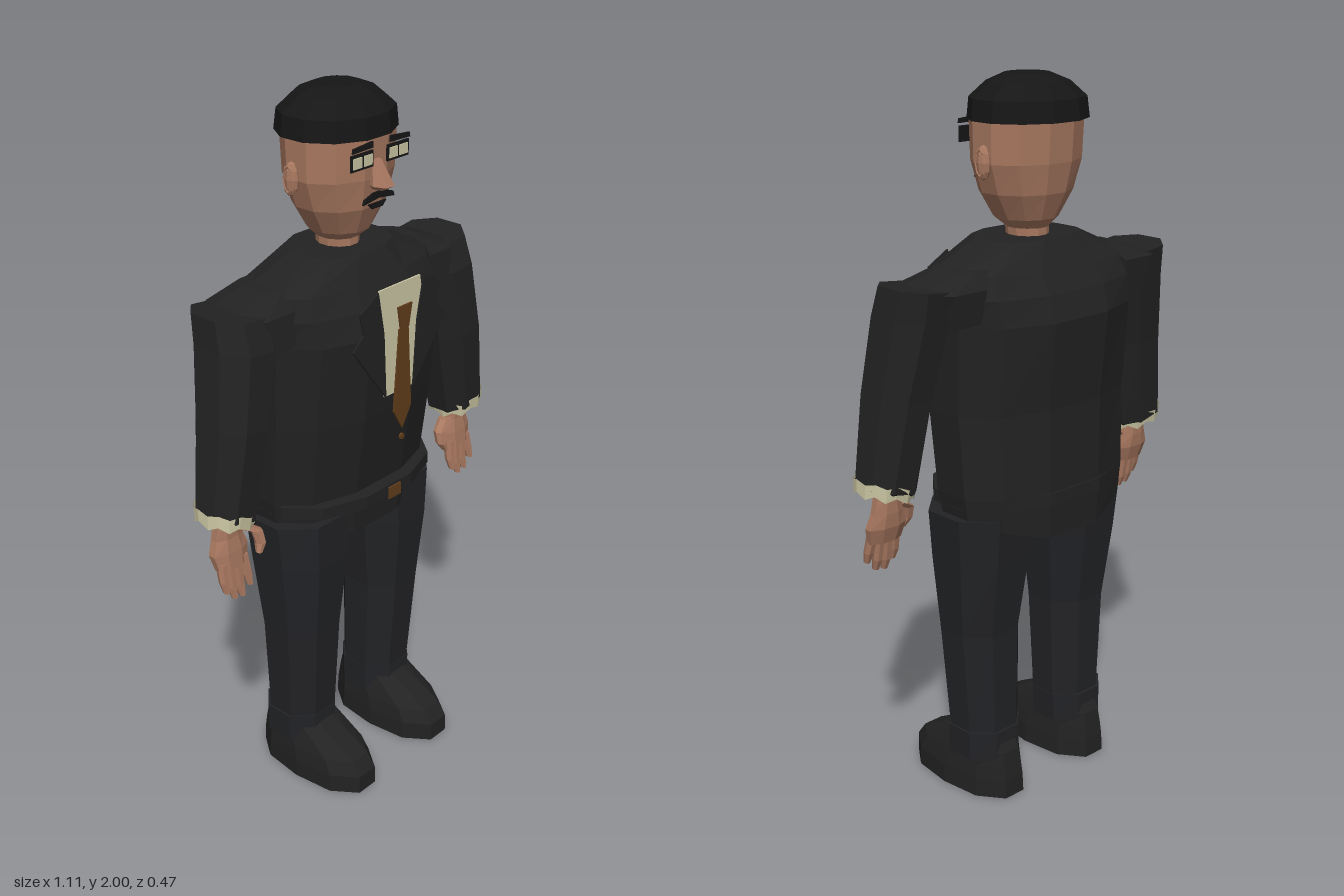
import * as THREE from 'three';

const mat = (name, color) => {
  const m = new THREE.MeshStandardMaterial({ color, side: THREE.DoubleSide });
  m.name = name;
  m.flatShading = true;
  return m;
};

// Horizontal cross-section: y, centre x, half width, front z, back z, outward tilt
function section([y, cx, rx, zf, zb, tilt = 0], n, p) {
  const pts = [];
  const cz = (zf + zb) / 2, rz = (zf - zb) / 2;
  const bend = v => Math.sign(v) * Math.pow(Math.abs(v), 2 / p);
  for (let i = 0; i < n; i++) {
    const a = (i + 0.5) / n * Math.PI * 2;
    const k = Math.cos(Math.PI / n); // keeps flat sides on the given extents
    const x = Math.max(-1, Math.min(1, bend(Math.sin(a) / k)));
    const z = Math.max(-1, Math.min(1, bend(Math.cos(a) / k)));
    pts.push(new THREE.Vector3(cx + rx * x, y + tilt * x, cz + rz * z));
  }
  return pts;
}

// Skin a list of point rings, bottom to top
function skin(rings, caps = true) {
  const pos = [];
  const tri = (...v) => v.forEach(q => pos.push(q.x, q.y, q.z));
  const n = rings[0].length;
  for (let r = 0; r + 1 < rings.length; r++) {
    for (let i = 0; i < n; i++) {
      const j = (i + 1) % n, lo = rings[r], hi = rings[r + 1];
      tri(lo[i], lo[j], hi[j]);
      tri(lo[i], hi[j], hi[i]);
    }
  }
  if (caps) {
    const lo = rings[0], hi = rings[rings.length - 1];
    for (let i = 1; i + 1 < n; i++) {
      tri(lo[0], lo[i + 1], lo[i]);
      tri(hi[0], hi[i], hi[i + 1]);
    }
  }
  const g = new THREE.BufferGeometry();
  g.setAttribute('position', new THREE.Float32BufferAttribute(pos, 3));
  g.computeVertexNormals();
  return g;
}

const loft = (rows, n = 8, p = 2) => skin(rows.map(r => section(r, n, p)));

// Thin plate facing the front
function plate(points, z, depth = 0.005) {
  const shape = new THREE.Shape(points.map(q => new THREE.Vector2(q[0], q[1])));
  return new THREE.ExtrudeGeometry(shape, { depth, bevelEnabled: false }).translate(0, 0, z);
}
const rect = (x0, x1, y0, y1) => [[x0, y0], [x1, y0], [x1, y1], [x0, y1]];
const mirrored = pts => pts.map(([x, y]) => [-x, y]).reverse();

export function createModel() {
  const suit = mat('suitBlack', 0x222222);
  const trouser = mat('trouserBlack', 0x222326);
  const black = mat('detailBlack', 0x161616);
  const skinTone = mat('skin', 0xa87860);
  const cream = mat('shirtCream', 0xcdc8a4);
  const brown = mat('tieBrown', 0x623e1c);

  const model = new THREE.Group();
  model.name = 'suitedMan';
  const add = (name, geometry, material, parent = model) => {
    const m = new THREE.Mesh(geometry, material);
    m.name = name;
    parent.add(m);
    return m;
  };

  // Jacket, with the hem rising toward the sides
  const jacket = [
    [0.78, 0, 0.285, 0.115, -0.21], [0.92, 0, 0.295, 0.125, -0.215],
    [1.15, 0, 0.302, 0.155, -0.212], [1.39, 0, 0.305, 0.178, -0.235],
    [1.46, 0, 0.315, 0.155, -0.215], [1.515, 0, 0.30, 0.125, -0.18],
    [1.585, 0, 0.15, 0.093, -0.14],
  ].map(r => section(r, 12, 2.3));
  jacket[0].forEach(q => { q.y += 0.08 * Math.pow(Math.abs(q.x) / 0.285, 2); });
  add('jacket', skin(jacket), suit);
  add('belt', loft([[0.885, 0, 0.29, 0.163, -0.22], [0.92, 0, 0.29, 0.163, -0.22]], 12, 2.3), suit);

  // Shirt front, lapels, tie, button and buckle
  add('shirtFront', plate([[-0.055, 1.215], [0.055, 1.215], [0.095, 1.44], [0.08, 1.52], [-0.08, 1.52], [-0.095, 1.44]], 0.184), cream);
  const lapel = [[0.055, 1.215], [0.185, 1.385], [0.145, 1.42], [0.16, 1.48], [0.09, 1.52], [0.066, 1.40]];
  add('leftLapel', plate(lapel, 0.19), suit);
  add('rightLapel', plate(mirrored(lapel), 0.19), suit);
  add('tie', plate([[0, 1.11], [0.035, 1.17], [0.018, 1.40], [-0.018, 1.40], [-0.035, 1.17]], 0.2), brown);
  add('tieKnot', plate([[0.016, 1.40], [0.028, 1.465], [-0.028, 1.465], [-0.016, 1.40]], 0.203), brown);
  add('button', new THREE.CylinderGeometry(0.009, 0.009, 0.006, 8).rotateX(Math.PI / 2).translate(0, 1.085, 0.203), brown);
  add('buckle', plate(rect(-0.024, 0.024, 0.893, 0.928), 0.18), brown);

  // Head, hair and face
  add('head', loft([
    [1.56, 0, 0.052, 0.03, -0.085], [1.605, 0, 0.055, 0.03, -0.085],
    [1.63, 0, 0.085, 0.06, -0.105], [1.70, 0, 0.128, 0.09, -0.135],
    [1.78, 0, 0.155, 0.103, -0.15], [1.90, 0, 0.158, 0.107, -0.157],
  ], 12), skinTone);
  add('hair', loft([
    [1.885, 0, 0.164, 0.113, -0.175], [1.94, 0, 0.158, 0.108, -0.168],
    [1.98, 0, 0.11, 0.07, -0.13], [2.0, 0, 0.06, 0.03, -0.085],
  ], 12), black);
  add('nose', loft([
    [1.752, 0, 0.012, 0.13, 0.085], [1.765, 0, 0.028, 0.152, 0.085], [1.83, 0, 0.011, 0.115, 0.085],
  ], 6), skinTone);
  add('mouth', plate([[-0.02, 1.703], [0.02, 1.703], [0.034, 1.717], [-0.034, 1.717]], 0.105), black);
  add('moustache', plate([
    [-0.06, 1.722], [0, 1.73], [0.06, 1.722], [0.055, 1.735], [0.02, 1.747], [-0.02, 1.747], [-0.055, 1.735],
  ], 0.11), black);

  for (const s of [1, -1]) {
    const side = new THREE.Group();
    side.name = s > 0 ? 'leftSide' : 'rightSide';
    model.add(side);
    const put = (name, geometry, material) => add(name, geometry, material, side);
    const flip = rows => rows.map(([y, x, rx, zf, zb, t = 0]) => [y, s * x, rx, zf, zb, s * t]);
    const limb = (rows, n, p) => loft(flip(rows), n, p);
    const facePlate = (pts, z) => plate(s > 0 ? pts : mirrored(pts), z);

    // Eye and brow
    put('eyeFrame', facePlate(rect(0.027, 0.109, 1.818, 1.86), 0.113), black);
    put('eyeInner', facePlate(rect(0.033, 0.063, 1.825, 1.852), 0.116), cream);
    put('eyeOuter', facePlate(rect(0.071, 0.102, 1.825, 1.852), 0.116), cream);
    put('brow', facePlate([[0.032, 1.868], [0.108, 1.866], [0.106, 1.878], [0.034, 1.884]], 0.118), black);

    // Ear
    const ear = new THREE.SphereGeometry(1, 8, 6).scale(0.018, 0.045, 0.022).translate(s * 0.161, 1.785, -0.035);
    put('ear', ear, skinTone);
    const rim = new THREE.TorusGeometry(0.017, 0.004, 4, 8).rotateY(Math.PI / 2).scale(1, 2, 1);
    put('earRim', rim.translate(s * 0.172, 1.785, -0.035), skinTone);

    // Shoulder, sleeve and shirt cuff
    put('shoulder', limb([
      [1.40, 0.30, 0.08, 0.08, -0.14], [1.49, 0.31, 0.11, 0.07, -0.15], [1.53, 0.24, 0.06, 0.03, -0.12],
    ], 8, 2.4), suit);
    put('sleeve', limb([
      [0.962, 0.475, 0.066, 0.074, -0.05, 0.014], [0.975, 0.472, 0.074, 0.085, -0.066, 0.018],
      [1.22, 0.432, 0.084, 0.096, -0.09, 0.01], [1.42, 0.396, 0.092, 0.085, -0.12, 0.01],
      [1.50, 0.392, 0.088, 0.06, -0.13, 0.01],
    ], 8, 2.2), suit);
    const cuff = flip([
      [0.957, 0.478, 0.075, 0.085, -0.062, 0.016], [0.992, 0.474, 0.078, 0.088, -0.068, 0.018],
    ]).map(r => section(r, 16, 2.2));
    cuff.forEach((ring, k) => ring.forEach((q, i) => { q.y += (i % 2 ? 0.007 : -0.007) * (k ? 0.6 : 1); }));
    put('shirtCuff', skin(cuff, false), cream);

    // Hand
    put('palm', limb([
      [0.825, 0.472, 0.05, 0.045, 0.002], [0.87, 0.472, 0.06, 0.04, -0.012],
      [0.91, 0.472, 0.046, 0.033, -0.016], [0.97, 0.472, 0.034, 0.032, -0.016],
    ], 8), skinTone);
    [0.755, 0.733, 0.738, 0.765].forEach((tip, i) => {
      const x = 0.435 + i * 0.025, lean = (i - 1.5) * 0.003;
      put('finger' + (i + 1), limb([
        [tip, x + lean, 0.007, 0.055, 0.037], [tip + 0.03, x + lean, 0.012, 0.05, 0.024],
        [0.845, x, 0.013, 0.04, 0.01],
      ], 6), skinTone);
    });
    put('thumb', limb([
      [0.835, 0.392, 0.007, 0.055, 0.037], [0.86, 0.381, 0.013, 0.055, 0.025],
      [0.895, 0.384, 0.016, 0.045, 0.015], [0.92, 0.43, 0.025, 0.03, 0],
    ], 6), skinTone);

    // Trouser leg, turn-up and shoe
    put('trouserLeg', limb([
      [0.15, 0.163, 0.09, 0.065, -0.113], [0.5, 0.17, 0.105, 0.088, -0.118],
      [0.72, 0.168, 0.128, 0.108, -0.15], [0.86, 0.165, 0.144, 0.11, -0.165],
    ], 8, 2.2), trouser);
    put('turnUp', limb([
      [0.115, 0.166, 0.094, 0.07, -0.122], [0.2, 0.166, 0.096, 0.07, -0.122],
    ], 8, 2.2), trouser);
    put('shoe', limb([
      [0, 0.164, 0.1, 0.235, -0.15], [0.055, 0.164, 0.098, 0.234, -0.147],
      [0.095, 0.164, 0.092, 0.205, -0.142], [0.135, 0.164, 0.085, 0.13, -0.135],
      [0.165, 0.164, 0.08, 0.07, -0.12],
    ], 10, 2.1), suit);
  }
  return model;
}
